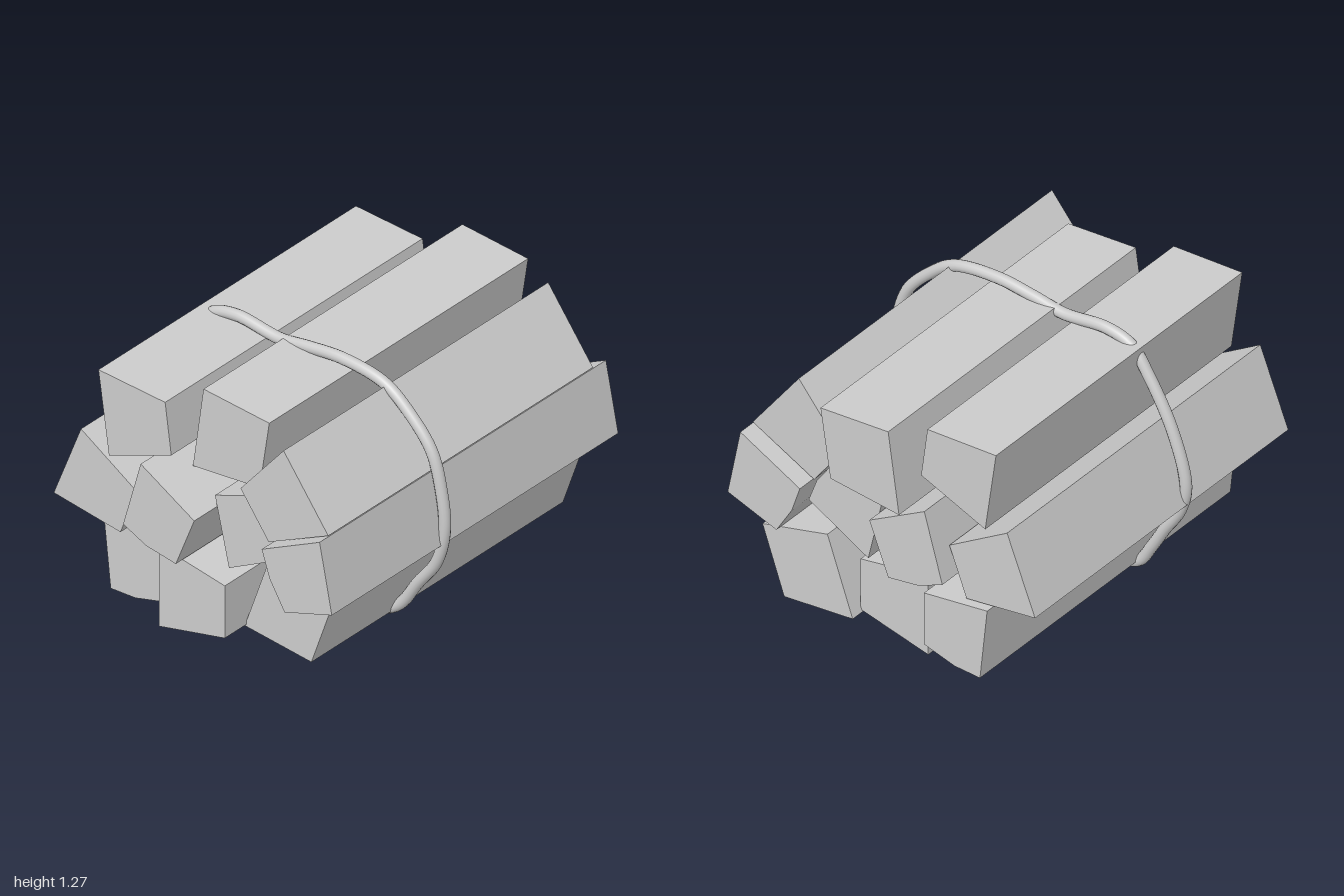
import * as THREE from 'three';

const grey = new THREE.MeshStandardMaterial({ color: 0xcccccc });
const flatGrey = new THREE.MeshStandardMaterial({ color: 0xcccccc, flatShading: true });

// Each log: back z, front z, corners of its cross-section (x, y)
const logs = [
  { name: 'topLeftLog', z: [-0.84, 0.94], pts: [[-0.57, 1.22], [-0.19, 1.2], [-0.155, 0.94], [-0.51, 0.8]] },
  { name: 'topMiddleLog', z: [-1, 0.79], pts: [[-0.095, 1.235], [0.28, 1.205], [0.225, 0.85], [-0.155, 0.815]] },
  { name: 'topRightLog', z: [-0.89, 0.94], pts: [[0.485, 1.215], [0.74, 0.875], [0.4, 0.71], [0.24, 0.925]] },
  { name: 'rightLog', z: [-0.98, 1], pts: [[0.74, 0.87], [0.81, 0.52], [0.54, 0.43], [0.455, 0.57], [0.41, 0.705]] },
  { name: 'leftLog', z: [-0.89, 0.94], pts: [[-0.67, 0.875], [-0.35, 0.675], [-0.445, 0.43], [-0.825, 0.485]] },
  { name: 'innerLeftLog', z: [-0.98, 1], pts: [[-0.28, 0.875], [0.025, 0.7], [-0.08, 0.437], [-0.25, 0.465], [-0.38, 0.525]] },
  { name: 'innerRightLog', z: [-0.89, 0.85], pts: [[0.02, 0.76], [0.28, 0.86], [0.385, 0.71], [0.43, 0.59], [0.1, 0.415]] },
  { name: 'bottomLeftLog', z: [-0.93, 0.88], pts: [[-0.59, 0.445], [-0.24, 0.395], [-0.24, 0.12], [-0.41, 0.075], [-0.55, 0.07]] },
  { name: 'bottomMiddleLog', z: [-0.88, 0.94], pts: [[-0.225, 0.45], [0.15, 0.385], [0.15, 0.115], [-0.225, 0.03]] },
  { name: 'bottomRightLog', z: [-0.95, 0.79], pts: [[0.28, 0.5], [0.64, 0.405], [0.52, 0.065], [0.14, 0.105]] },
];

// Centre line of the tie around the bundle (x, y)
const tiePath = [
  [-0.81, 0.575], [-0.78, 0.435], [-0.69, 0.29], [-0.62, 0.17], [-0.55, 0.068], [-0.44, 0.042],
  [0, 0.04], [0.28, 0.033], [0.455, 0.052], [0.555, 0.11], [0.655, 0.255], [0.765, 0.41],
  [0.81, 0.59], [0.79, 0.79], [0.735, 0.97], [0.61, 1.115], [0.47, 1.215], [0.23, 1.25],
  [0.03, 1.233], [-0.13, 1.212], [-0.375, 1.237], [-0.51, 1.2], [-0.6, 1.085], [-0.735, 0.84],
];

function makeLog({ name, z: [back, front], pts }) {
  const shape = new THREE.Shape(pts.map(([x, y]) => new THREE.Vector2(x, y)));
  const geometry = new THREE.ExtrudeGeometry(shape, { depth: front - back, bevelEnabled: false });
  const mesh = new THREE.Mesh(geometry, flatGrey);
  mesh.name = name;
  mesh.position.z = back;
  return mesh;
}

function makeTie() {
  const curve = new THREE.CatmullRomCurve3(
    tiePath.map(([x, y]) => new THREE.Vector3(x, y, 0.22)), true);
  const mesh = new THREE.Mesh(new THREE.TubeGeometry(curve, 160, 0.028, 14, true), grey);
  mesh.name = 'ropeTie';
  return mesh;
}

export function createModel() {
  const group = new THREE.Group();
  group.name = 'logBundle';
  // Stacked split logs
  for (const log of logs) group.add(makeLog(log));
  // Rope holding them together
  group.add(makeTie());
  return group;
}
